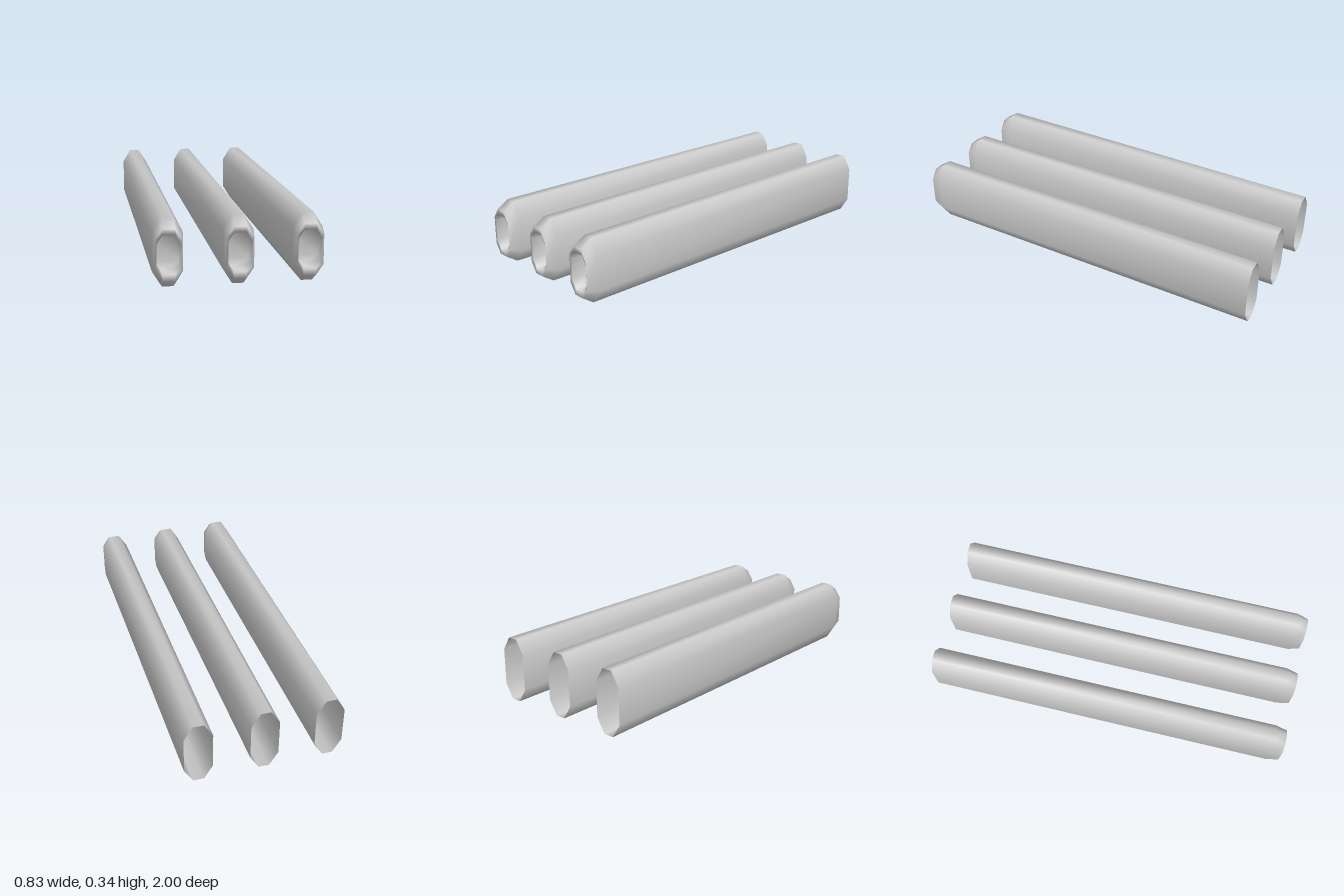
import * as THREE from 'three';

const CENTRE_Y = 0.171;
const SPACING = 0.341;

// Elongated octagon, counter-clockwise seen from the front
function octagon(halfW, halfH, flatX, flatY) {
  return [
    [halfW, -flatY], [halfW, flatY], [flatX, halfH], [-flatX, halfH],
    [-halfW, flatY], [-halfW, -flatY], [-flatX, -halfH], [flatX, -halfH],
  ];
}

// Cross-sections from the open back, over the front rim, into the blind bore
const sections = [
  { z: -1, ring: octagon(0.074, 0.171, 0.028, 0.097) },
  { z: 0.935, ring: octagon(0.074, 0.171, 0.028, 0.097) },
  { z: 1, ring: octagon(0.066, 0.128, 0.03, 0.075) },
  { z: 0.995, ring: octagon(0.058, 0.097, 0.03, 0.054) },
  { z: 0.9, ring: octagon(0.058, 0.097, 0.03, 0.054) },
];

function tubeGeometry() {
  const positions = [];
  const index = [];
  const n = 8;
  for (const { z, ring } of sections) {
    for (const [x, y] of ring) positions.push(x, y, z);
  }
  for (let s = 0; s < sections.length - 1; s++) {
    for (let i = 0; i < n; i++) {
      const a = s * n + i;
      const b = s * n + (i + 1) % n;
      index.push(a, b, a + n, b, b + n, a + n);
    }
  }
  // Floor of the bore
  const floor = (sections.length - 1) * n;
  for (let i = 1; i < n - 1; i++) index.push(floor, floor + i, floor + i + 1);

  const geometry = new THREE.BufferGeometry();
  geometry.setAttribute('position', new THREE.Float32BufferAttribute(positions, 3));
  geometry.setIndex(index);
  geometry.computeVertexNormals();
  return geometry;
}

export function createModel() {
  const group = new THREE.Group();
  group.name = 'tubes';
  const material = new THREE.MeshStandardMaterial({ color: 0xcccccc, side: THREE.DoubleSide });
  const geometry = tubeGeometry();

  // Three parallel tubes
  ['rightTube', 'middleTube', 'leftTube'].forEach((name, i) => {
    const tube = new THREE.Mesh(geometry, material);
    tube.name = name;
    tube.position.set((i - 1) * SPACING, CENTRE_Y, 0);
    group.add(tube);
  });
  return group;
}
